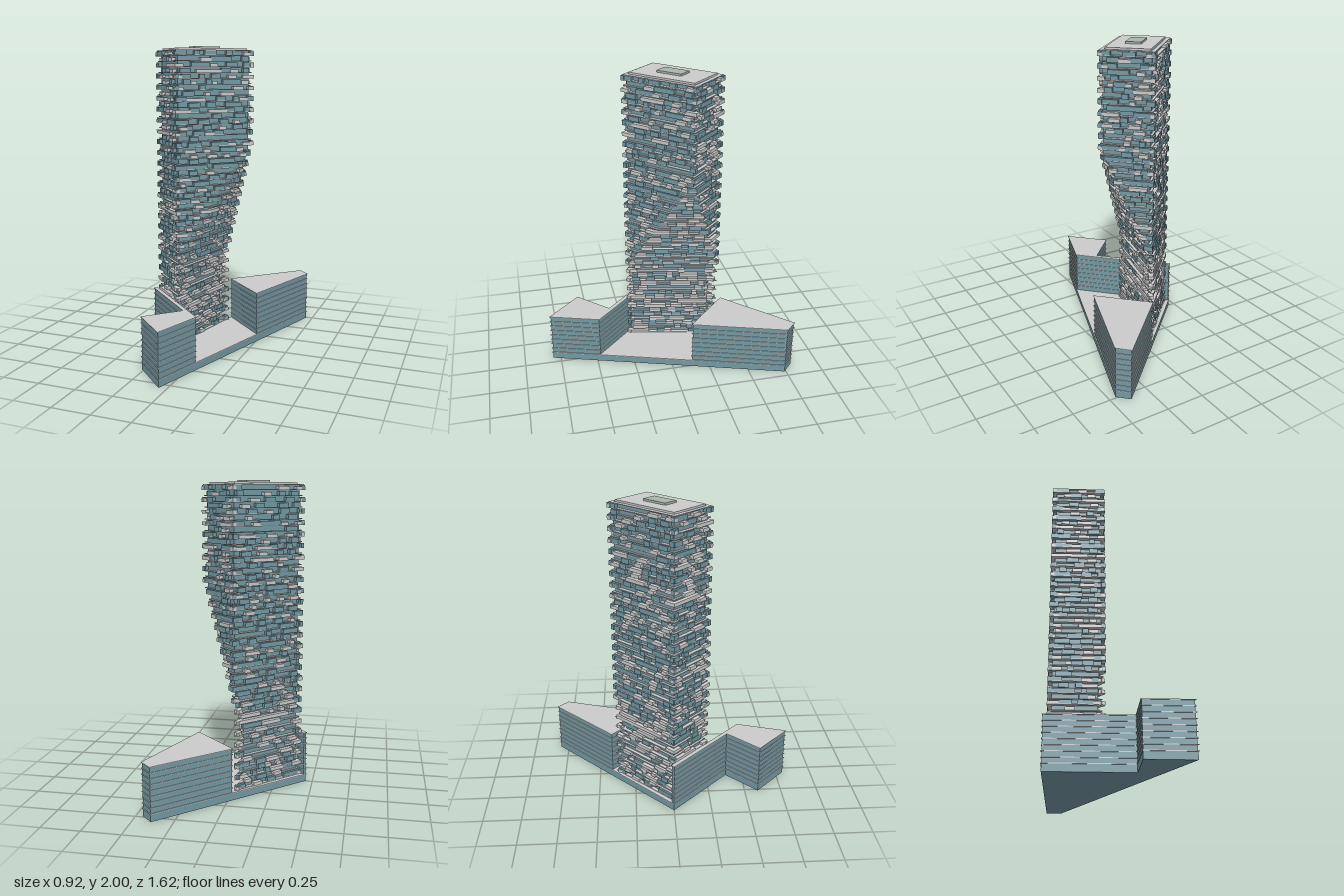
import * as THREE from 'three';
import { mergeGeometries } from 'three/addons/utils/BufferGeometryUtils.js';

const L = 0.551, W = 0.354;          // tower plan, long and short side
const BASE = 0.05, ROOF = 1.975, FLOORS = 53, PITCH = (ROOF - BASE) / FLOORS;
const DEPTH = 0.027;                 // how far balconies project from the glass

const grey = new THREE.MeshStandardMaterial({ color: 0xcccccc });
const teal = new THREE.MeshStandardMaterial({ color: 0x7499a3 });
const sage = new THREE.MeshStandardMaterial({ color: 0xa9b5ab });

let seed = 7;
const rand = () => (seed = (seed * 16807) % 2147483647) / 2147483647;

// Upright prism over a plan outline of [x, z] points
function prism(pts, y0, y1) {
  const shape = new THREE.Shape(pts.map(([x, z]) => new THREE.Vector2(x, -z)));
  const geo = new THREE.ExtrudeGeometry(shape, { depth: y1 - y0, bevelEnabled: false });
  return geo.rotateX(-Math.PI / 2).translate(0, y0, 0);
}

// Mitred inset of a plan outline
function inset(pts, d) {
  const n = pts.length;
  const dir = (a, b) => {
    const l = Math.hypot(b[0] - a[0], b[1] - a[1]);
    return [(b[0] - a[0]) / l, (b[1] - a[1]) / l];
  };
  return pts.map((p, i) => {
    const e = dir(pts[(i + n - 1) % n], p), f = dir(p, pts[(i + 1) % n]);
    const k = d / (1 + e[0] * f[0] + e[1] * f[1]);
    return [p[0] - (e[1] + f[1]) * k, p[1] + (e[0] + f[0]) * k];
  });
}

// Tower plan at height y: a triangle that grows into the full rectangle
function towerPlan(y, d) {
  const s = THREE.MathUtils.clamp((y - 0.58) / 0.78, 0, 1) - d * Math.hypot(1 / L, 1 / W);
  const a = L / 2 - d, b = W / 2 - d;
  const rect = [[-a, -b], [a, -b], [a, b], [-a, b]];
  if (s >= 1 - d / a - d / b - 0.005 && y > 1.3) return rect;
  const side = (p) => p[0] / L + p[1] / W - s;
  const out = [];
  rect.forEach((p, i) => {
    const q = rect[(i + 1) % 4], f = side(p), g = side(q);
    if (f <= 0) out.push(p);
    if (f * g < 0) {
      const t = f / (f - g);
      out.push([p[0] + (q[0] - p[0]) * t, p[1] + (q[1] - p[1]) * t]);
    }
  });
  return out;
}

function addMesh(group, name, geos, material) {
  const mesh = new THREE.Mesh(mergeGeometries(geos.map((g) => (g.index ? g.toNonIndexed() : g))), material);
  mesh.name = name;
  group.add(mesh);
}

// Projecting bays and balconies along the edges of one floor
function addCells(pts, y, floor, bays, balconies) {
  const n = pts.length;
  const trim = (i) => {
    const p = pts[i], a = pts[(i + n - 1) % n], b = pts[(i + 1) % n];
    const u = new THREE.Vector2(a[0] - p[0], a[1] - p[1]).normalize();
    const v = new THREE.Vector2(b[0] - p[0], b[1] - p[1]).normalize();
    const angle = Math.acos(THREE.MathUtils.clamp(u.dot(v), -1, 1));
    return Math.max(0, (0.6 * DEPTH) / Math.tan(angle));
  };
  for (let i = 0; i < n; i++) {
    const p = pts[i], q = pts[(i + 1) % n];
    const len = Math.hypot(q[0] - p[0], q[1] - p[1]);
    const dx = (q[0] - p[0]) / len, dz = (q[1] - p[1]) / len;
    const end = len - trim((i + 1) % n);
    let at = trim(i), k = 0;
    while (end - at > 0.012) {
      let w = 0.035 + 0.045 * rand();
      if (end - at - w < 0.03) w = end - at;
      const corner = k === 0 || at + w >= end - 1e-6;
      const shown = corner ? floor % 2 === 0 : (k + floor) % 2 === 0 ? rand() < 0.8 : rand() < 0.3;
      if (shown) {
        const solid = rand() < (y < 0.55 ? 0.7 : 0.42);
        const h = solid ? 0.023 : PITCH - 0.005;
        const depth = solid ? DEPTH : DEPTH - 0.004;
        const mid = at + w / 2, inn = DEPTH - depth / 2;
        const box = new THREE.BoxGeometry(w, h, depth).rotateY(-Math.atan2(dz, dx));
        box.translate(p[0] + dx * mid - dz * inn, y + h / 2, p[1] + dz * mid + dx * inn);
        (solid ? balconies : bays).push(box);
      }
      at += w;
      k++;
    }
  }
}

function makeTower() {
  const tower = new THREE.Group();
  tower.name = 'tower';
  const glass = [], slabs = [], bays = [], balconies = [];
  for (let i = 0; i < FLOORS; i++) {
    const y = BASE + i * PITCH;
    glass.push(prism(towerPlan(y, DEPTH), y, y + PITCH));
    slabs.push(prism(towerPlan(y, i % 2 ? 0.012 : 0.003), y, y + 0.006));
    addCells(towerPlan(y, 0), y, i, bays, balconies);
  }
  addMesh(tower, 'glassWalls', glass, teal);
  addMesh(tower, 'floorSlabs', slabs, grey);
  addMesh(tower, 'glassBays', bays, teal);
  addMesh(tower, 'balconies', balconies, grey);

  // Roof deck and plant room
  addMesh(tower, 'roof', [
    prism(towerPlan(2, 0.008), ROOF - 0.004, ROOF),
    prism(towerPlan(2, 0.036), ROOF, 1.987),
  ], grey);
  addMesh(tower, 'plantRoom', [new THREE.BoxGeometry(0.18, 0.015, 0.1).translate(0, 1.9925, 0)], sage);

  tower.position.set(-0.102, 0, -0.07);
  tower.rotation.y = Math.PI / 4;
  return tower;
}

// Low block with thin overhanging floor plates
function makeBlock(name, pts) {
  const block = new THREE.Group();
  block.name = name;
  const step = (0.345 - BASE) / 8, plates = [];
  for (let i = 1; i <= 8; i++) plates.push(prism(pts, BASE + i * step - 0.004, BASE + i * step));
  addMesh(block, name + 'Walls', [prism(inset(pts, 0.005), BASE, 0.343)], teal);
  addMesh(block, name + 'Plates', plates, grey);
  return block;
}

export function createModel() {
  const model = new THREE.Group();
  model.name = 'twistingTower';

  // Site plinth
  const site = [[-0.46, 0], [0.385, -0.815], [0.46, -0.74], [-0.05, 0.81], [-0.27, 0.59], [-0.07, 0.39]];
  addMesh(model, 'plinth', [prism(inset(site, 0.004), 0, 0.047)], teal);
  addMesh(model, 'plinthTop', [prism(site, 0.047, BASE + 0.002)], grey);

  // Two podium blocks on either side of the tower
  model.add(makeBlock('frontBlock',
    [[-0.46, 0], [-0.44, -0.02], [0.058, 0.478], [-0.05, 0.81], [-0.27, 0.59], [-0.07, 0.39]]));
  model.add(makeBlock('backBlock', [[-0.035, -0.41], [0.385, -0.815], [0.46, -0.74], [0.255, -0.125]]));

  model.add(makeTower());
  return model;
}
